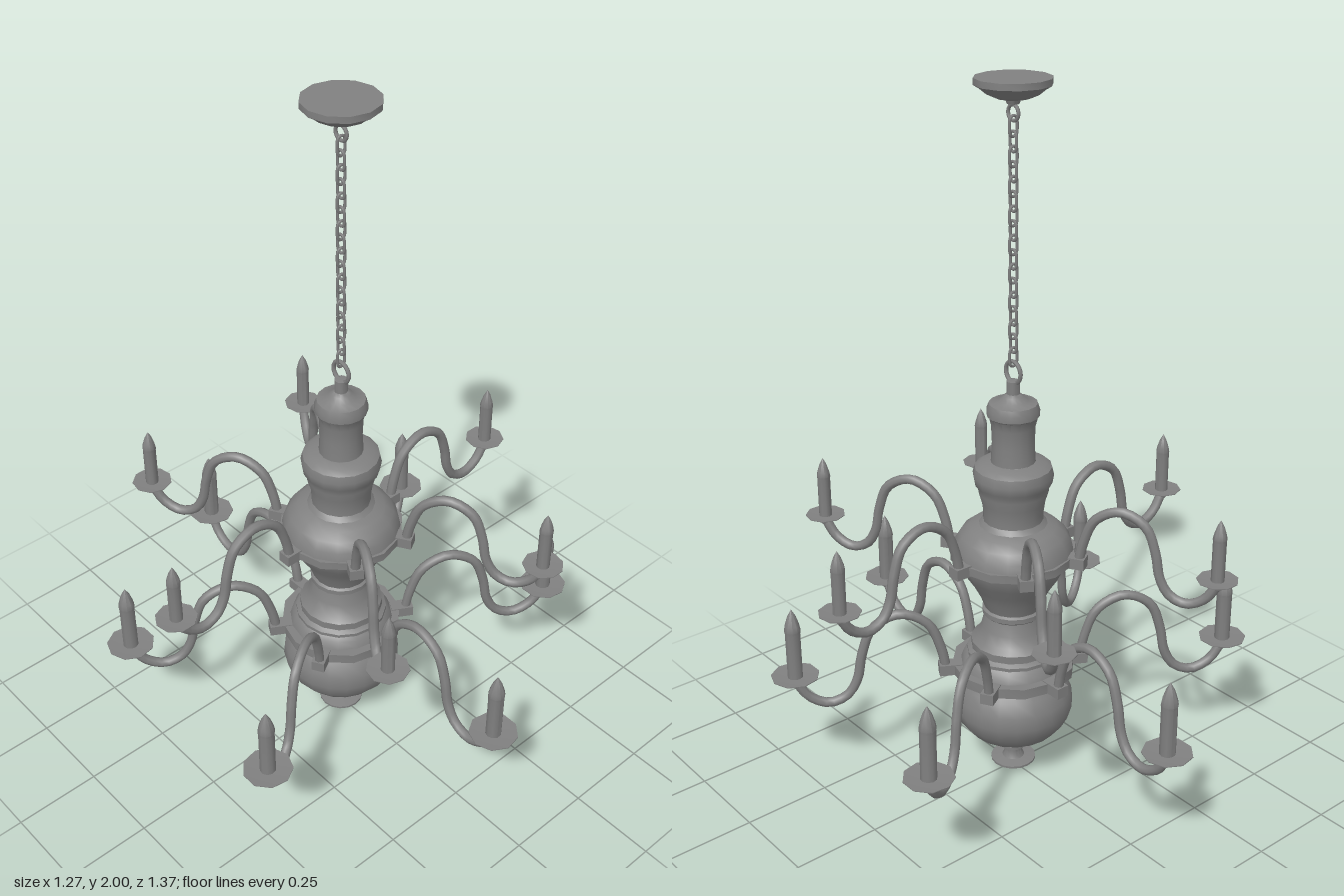
import * as THREE from 'three';
import { toCreasedNormals } from 'three/addons/utils/BufferGeometryUtils.js';

const metal = new THREE.MeshStandardMaterial({ color: 0x808080, side: THREE.DoubleSide });

function add(parent, name, geometry, x = 0, y = 0, z = 0) {
  const mesh = new THREE.Mesh(geometry, metal);
  mesh.name = name;
  mesh.position.set(x, y, z);
  parent.add(mesh);
  return mesh;
}

// Turned part from [radius, height] pairs, bottom to top
function turned(points, sides = 16, crease = 0.7) {
  const profile = points.map(([r, y]) => new THREE.Vector2(r, y));
  return toCreasedNormals(new THREE.LatheGeometry(profile, sides), crease);
}

// Oval chain link standing upright in the xy plane
function linkGeometry(halfWidth, halfHeight, wire) {
  const points = [];
  for (let i = 0; i < 10; i++) {
    const a = (i / 10) * Math.PI * 2;
    const straight = Math.sign(Math.round(Math.sin(a) * 100)) * (halfHeight - halfWidth);
    points.push(new THREE.Vector3(Math.cos(a) * halfWidth, Math.sin(a) * halfWidth + straight, 0));
  }
  return new THREE.TubeGeometry(new THREE.CatmullRomCurve3(points, true), 20, wire, 5, true);
}

// One S-shaped arm along +x, with bracket, drip pan and candle
function createArm(name, s, rootY, rootR, candleScale) {
  const arm = new THREE.Group();
  arm.name = name;
  const path = [
    [0, 0], [0.012, 0.06], [0.045, 0.135], [0.115, 0.17], [0.185, 0.138], [0.215, 0.065],
    [0.23, -0.01], [0.258, -0.055], [0.305, -0.072], [0.355, -0.048], [0.387, 0],
  ].map(([x, y]) => new THREE.Vector3(rootR + x * s, rootY + y * s, 0));
  const tip = path[path.length - 1];
  add(arm, 'armTube', new THREE.TubeGeometry(new THREE.CatmullRomCurve3(path), 32, 0.014, 8));
  add(arm, 'bracket', new THREE.BoxGeometry(0.065, 0.032, 0.038), rootR - 0.012, rootY, 0);
  const pan = add(arm, 'dripPan', turned([
    [0, -0.01], [0.014, -0.01], [0.017, 0], [0.034, 0.007], [0.057, 0.016], [0.057, 0.018], [0, 0.013],
  ], 9), tip.x, tip.y, 0);
  const candle = add(arm, 'candle', turned([
    [0.0185, 0.01], [0.0185, 0.132], [0.0195, 0.138], [0.017, 0.152], [0.01, 0.174], [0, 0.193],
  ], 10), tip.x, tip.y, 0);
  pan.scale.setScalar(candleScale);
  candle.scale.setScalar(candleScale);
  return arm;
}

export function createModel() {
  const model = new THREE.Group();
  model.name = 'chandelier';

  // Central column
  add(model, 'bottomFinial', turned([
    [0, 0.004], [0.025, 0], [0.035, 0.01], [0.065, 0.02], [0.065, 0.026], [0.032, 0.03],
    [0.025, 0.045], [0.026, 0.058], [0.034, 0.062], [0.034, 0.072], [0.028, 0.076],
    [0.034, 0.09], [0.034, 0.1], [0.05, 0.108],
  ]));
  add(model, 'lowerBall', turned([
    [0, 0.092], [0.045, 0.098], [0.09, 0.113], [0.13, 0.139], [0.16, 0.177], [0.172, 0.217],
    [0.168, 0.257], [0.151, 0.295], [0.122, 0.33],
  ], 20));
  add(model, 'lowerRing', turned([[0, 0.328], [0.176, 0.328], [0.176, 0.358], [0, 0.358]], 12));
  add(model, 'lowerBell', turned([
    [0.15, 0.358], [0.142, 0.38], [0.132, 0.39], [0.132, 0.4], [0.12, 0.408], [0.12, 0.43],
    [0.104, 0.445], [0.09, 0.475], [0.081, 0.51], [0.088, 0.516], [0.088, 0.53], [0.081, 0.535],
  ]));
  add(model, 'vase', turned([
    [0.081, 0.535], [0.094, 0.57], [0.112, 0.605], [0.135, 0.64], [0.15, 0.67], [0.155, 0.69],
  ]));
  add(model, 'upperRing', turned([[0.13, 0.69], [0.176, 0.69], [0.176, 0.714], [0.13, 0.714]], 12));
  add(model, 'dome', turned([
    [0.167, 0.714], [0.162, 0.738], [0.147, 0.763], [0.122, 0.783], [0.095, 0.792],
  ]));
  add(model, 'neck', turned([
    [0.095, 0.792], [0.083, 0.805], [0.083, 0.825], [0.088, 0.86], [0.097, 0.89], [0.098, 0.903],
    [0.107, 0.915], [0.111, 0.94], [0.106, 0.962], [0.09, 0.973], [0.062, 0.978],
  ]));
  add(model, 'topColumn', turned([
    [0.061, 0.978], [0.058, 1.03], [0.06, 1.08], [0.067, 1.108], [0.072, 1.112], [0.072, 1.13],
    [0.066, 1.146], [0.04, 1.152], [0.028, 1.165], [0.018, 1.172], [0.018, 1.208], [0, 1.21],
  ]));

  // Ceiling canopy
  add(model, 'canopy', turned([
    [0, 1.935], [0.016, 1.935], [0.02, 1.945], [0.045, 1.95], [0.068, 1.96], [0.085, 1.974],
    [0.1, 1.983], [0.1, 2], [0, 2],
  ], 12));

  // Hanging rings and chain
  add(model, 'lowerHook', new THREE.TorusGeometry(0.03, 0.006, 6, 20), 0, 1.232, 0).rotation.y = Math.PI / 2;
  add(model, 'upperHook', new THREE.TorusGeometry(0.02, 0.005, 6, 16), 0, 1.913, 0).rotation.y = Math.PI / 2;
  const chain = new THREE.Group();
  chain.name = 'chain';
  model.add(chain);
  const link = linkGeometry(0.0125, 0.026, 0.0042);
  const count = 17, low = 1.275, high = 1.88;
  for (let i = 0; i < count; i++) {
    const y = low + ((high - low) * i) / (count - 1);
    add(chain, 'chainLink', link, 0, y, 0).rotation.y = (i % 2) * Math.PI / 2;
  }

  // Two tiers of six arms, staggered by half a step
  for (let i = 0; i < 6; i++) {
    const upper = createArm('upperArm', 1, 0.702, 0.19, 1);
    upper.rotation.y = (i * Math.PI) / 3;
    const lower = createArm('lowerArm', 1.1, 0.345, 0.194, 1.2);
    lower.rotation.y = (i * Math.PI) / 3 + Math.PI / 6;
    model.add(upper, lower);
  }
  return model;
}
